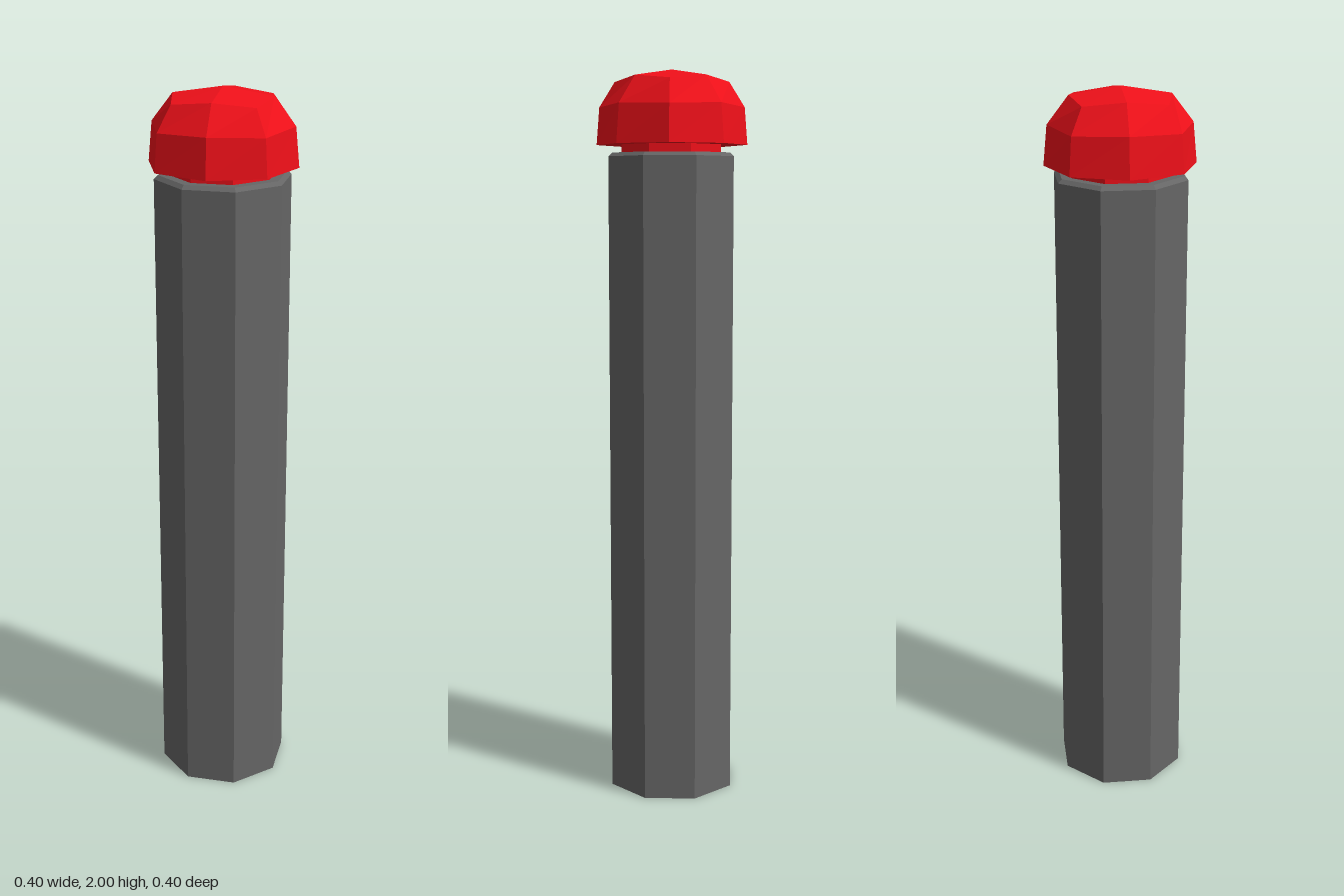
import * as THREE from 'three';

const SIDES = 8;

function addMesh(group, name, geometry, color) {
  const material = new THREE.MeshStandardMaterial({ color, flatShading: true });
  const mesh = new THREE.Mesh(geometry, material);
  mesh.name = name;
  group.add(mesh);
}

// Octagonal prism or frustum with flat sides facing front, back, left and right
function octagon(topApothem, bottomApothem, y0, y1, open = false) {
  const k = 1 / Math.cos(Math.PI / SIDES);
  const g = new THREE.CylinderGeometry(topApothem * k, bottomApothem * k, y1 - y0, SIDES, 1, open);
  return g.rotateY(Math.PI / SIDES).translate(0, (y0 + y1) / 2, 0);
}

// Rounded-cube dome: each ring alternates side points and corner points
function domeGeometry() {
  const rings = [
    { side: [0.2, 1.8], corner: [0.205, 1.8] },
    { side: [0.19, 1.905], corner: [0.197, 1.9] },
    { side: [0.133, 1.979], corner: [0.155, 1.967] },
  ];
  const positions = [];
  for (const ring of rings) {
    for (let i = 0; i < SIDES; i++) {
      const [r, y] = i % 2 ? ring.corner : ring.side;
      const a = (i / SIDES) * Math.PI * 2;
      positions.push(r * Math.sin(a), y, r * Math.cos(a));
    }
  }
  const bottom = rings.length * SIDES;
  const top = bottom + 1;
  positions.push(0, 1.8, 0, 0, 2, 0);

  const index = [];
  const last = (rings.length - 1) * SIDES;
  for (let i = 0; i < SIDES; i++) {
    const j = (i + 1) % SIDES;
    for (let o = 0; o < last; o += SIDES) {
      index.push(o + i, o + j, o + SIDES + j, o + i, o + SIDES + j, o + SIDES + i);
    }
    index.push(top, last + i, last + j);
    index.push(bottom, j, i);
  }
  const g = new THREE.BufferGeometry();
  g.setAttribute('position', new THREE.Float32BufferAttribute(positions, 3));
  g.setIndex(index);
  const flat = g.toNonIndexed();
  flat.computeVertexNormals();
  return flat;
}

export function createModel() {
  const group = new THREE.Group();
  group.name = 'bollard';
  const grey = 0x666666;
  const red = 0xee1019;

  // Post with a slim bevel around its top edge
  addMesh(group, 'post', octagon(0.168, 0.168, 0, 1.768), grey);
  addMesh(group, 'postBevel', octagon(0.158, 0.168, 1.768, 1.778), grey);

  // Narrow neck carrying the domed cap
  addMesh(group, 'neck', octagon(0.133, 0.133, 1.778, 1.8, true), red);
  addMesh(group, 'cap', domeGeometry(), red);

  return group;
}
